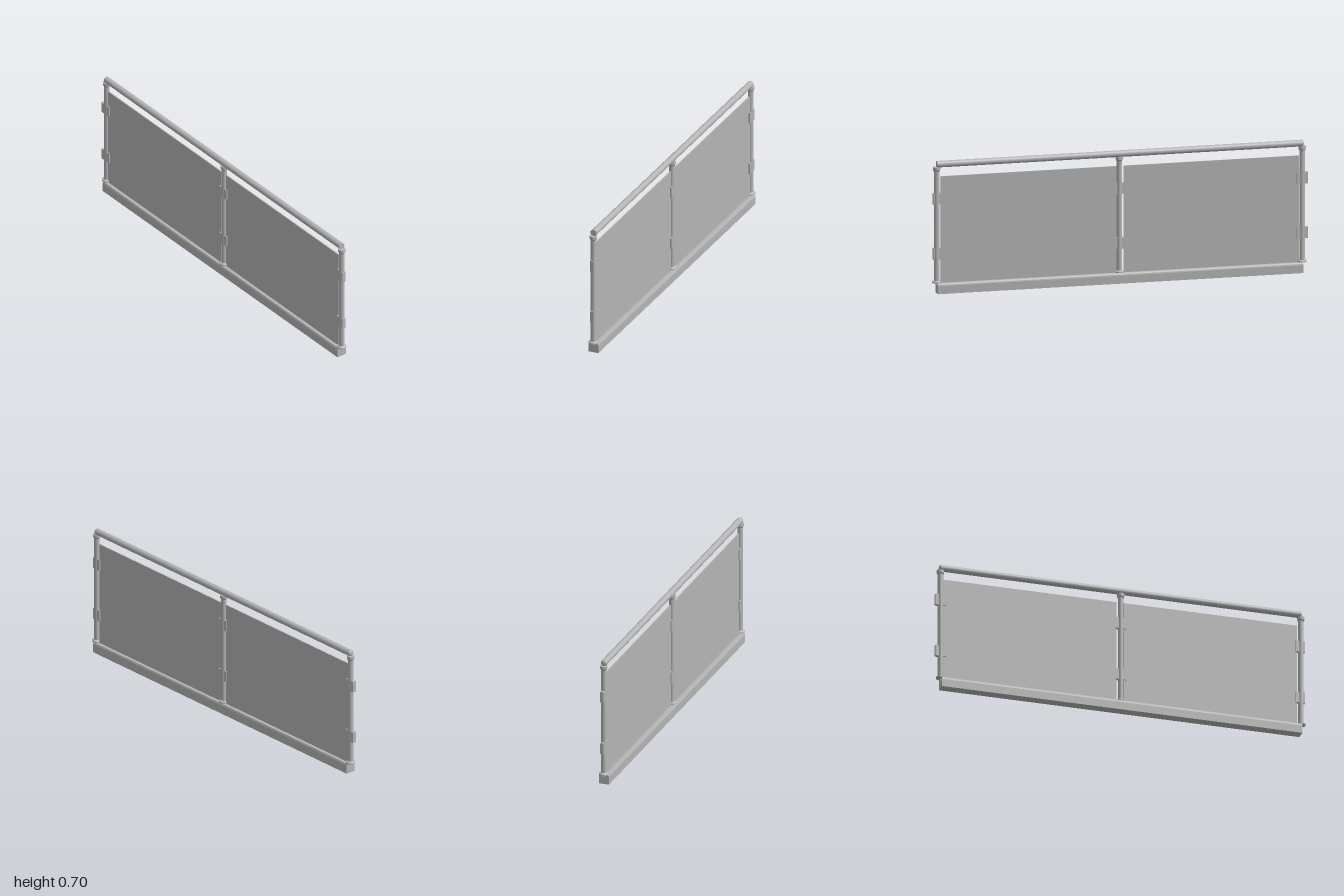
import * as THREE from 'three';

export function createModel() {
  const model = new THREE.Group();
  const metal = new THREE.MeshStandardMaterial({ color: 0xb4b4b4 });
  metal.name = 'greyMetal';

  const add = (name, geometry, x = 0, y = 0, z = 0, parent = model) => {
    const mesh = new THREE.Mesh(geometry, metal);
    mesh.name = name;
    mesh.position.set(x, y, z);
    parent.add(mesh);
    return mesh;
  };
  const box = (name, x0, x1, y0, y1, halfZ, parent) =>
    add(name, new THREE.BoxGeometry(x1 - x0, y1 - y0, halfZ * 2), (x0 + x1) / 2, (y0 + y1) / 2, 0, parent);

  const left = -0.97, middle = 0.0025, right = 0.975;

  // Base beam: bevelled top with a slot that holds the panels
  const half = [[0.0275, 0], [0.0275, 0.042], [0.026, 0.048], [0.022, 0.055], [0.006, 0.055], [0.006, 0.043]];
  const outline = [...half, ...half.slice().reverse().map(([z, y]) => [-z, y])];
  const section = new THREE.Shape(outline.map(([z, y]) => new THREE.Vector2(z, y)));
  const beam = new THREE.ExtrudeGeometry(section, { depth: right - left, bevelEnabled: false });
  add('baseBeam', beam, left).rotation.y = Math.PI / 2;

  // Posts, each turned from straight profile segments so edges stay crisp
  const turned = (name, points, parent) => {
    for (let i = 0; i < points.length - 1; i++) {
      const pair = [points[i], points[i + 1]].map(([r, y]) => new THREE.Vector2(r, y));
      add(name, new THREE.LatheGeometry(pair, 32), 0, 0, 0, parent);
    }
  };
  [left, middle, right].forEach((x, i) => {
    const post = new THREE.Group();
    post.name = 'post';
    post.position.x = x;
    model.add(post);
    turned('foot', [[0, 0.055], [0.0245, 0.055], [0.0245, 0.0615], [0.021, 0.064], [0.0145, 0.067]], post);
    turned('shaft', [[0.0145, 0.06], [0.0145, 0.66]], post);
    turned('collar', [[0.0145, 0.645], [0.0165, 0.647], [0.0195, 0.653], [0.0195, 0.668], [0, 0.668]], post);
    // Panel clips through the post
    for (const y of [0.18, 0.47]) box('panelClip', -0.03, i === 2 ? 0.02 : 0.03, y, y + 0.06, 0.0095, post);
  });

  // Infill panels
  box('leftHandPanel', -0.954, -0.02, 0.043, 0.618, 0.003);
  box('rightHandPanel', 0.0195, 0.953, 0.043, 0.618, 0.003);

  // Handrail with a shallow cap at one end
  const rail = new THREE.CylinderGeometry(0.0172, 0.0172, right - left, 32);
  add('handrail', rail, middle, 0.6828).rotation.z = Math.PI / 2;
  const cap = new THREE.SphereGeometry(0.0172, 32, 8, 0, Math.PI * 2, 0, Math.PI / 2);
  cap.scale(1, 0.5, 1);
  add('railEndCap', cap, left, 0.6828).rotation.z = Math.PI / 2;

  return model;
}
